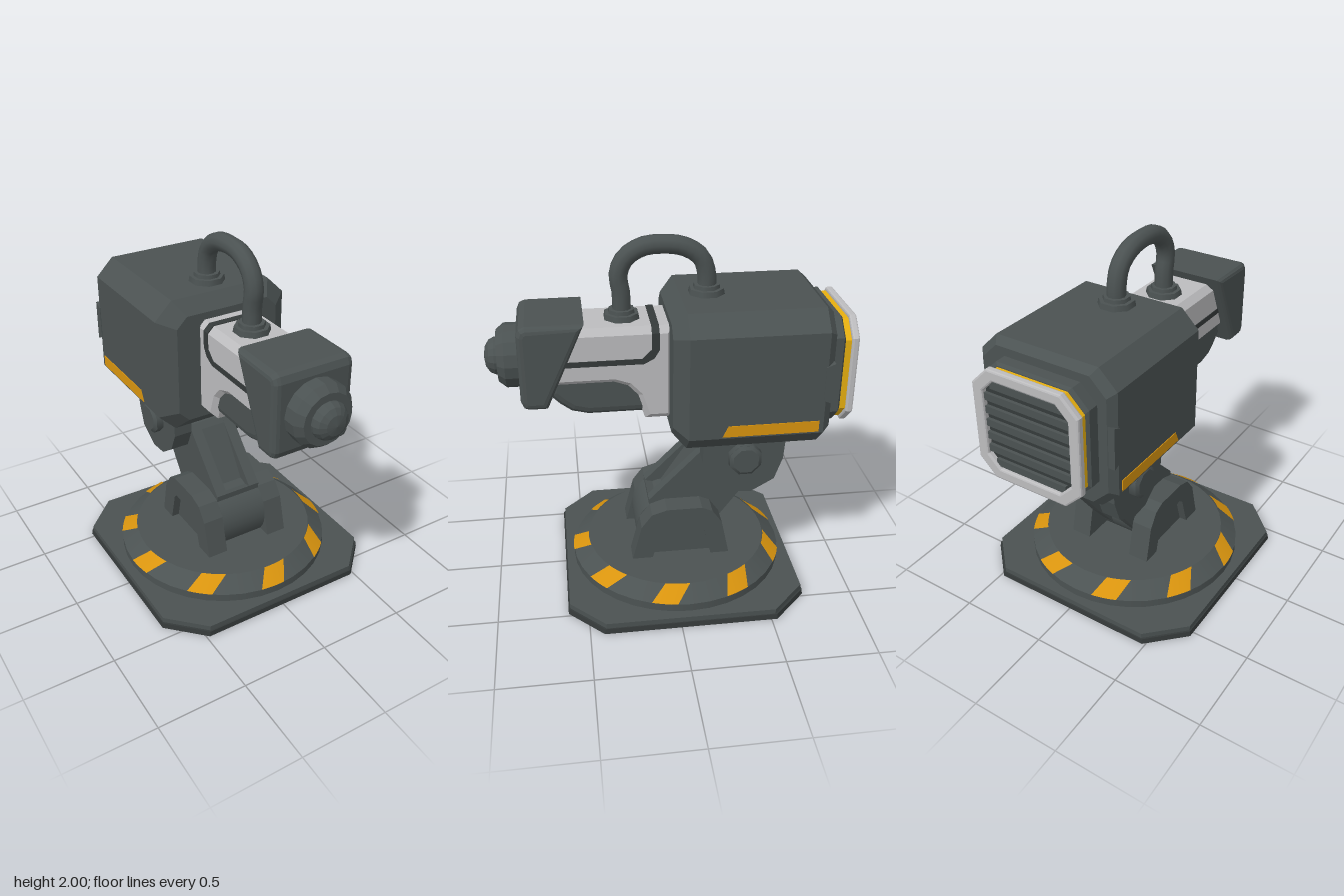
import * as THREE from 'three';

const material = (name, color, side = THREE.FrontSide) => {
  const m = new THREE.MeshStandardMaterial({ color, side });
  m.name = name;
  return m;
};

export function createModel() {
  const model = new THREE.Group();
  const grey = material('gunmetal', 0x4b5252);
  const dark = material('darkRubber', 0x353a3a);
  const white = material('lightPanel', 0xbcbcbe);
  const orange = material('hazardOrange', 0xd9940e, THREE.DoubleSide);
  const yellow = material('ringYellow', 0xe8b010);

  const add = (name, geometry, mat, x = 0, y = 0, z = 0) => {
    const mesh = new THREE.Mesh(geometry, mat);
    mesh.name = name;
    mesh.position.set(x, y, z);
    model.add(mesh);
    return mesh;
  };
  const box = (name, mat, w, h, d, x, y, z) => add(name, new THREE.BoxGeometry(w, h, d), mat, x, y, z);
  const outline = pts => new THREE.Shape(pts.map(p => new THREE.Vector2(...p)));

  // Side profile of [z, y] points, extruded across x from x0 to x1
  const sideGeo = (pts, x0, x1, bevel = 0, steps = 1) => {
    const g = new THREE.ExtrudeGeometry(outline(pts), {
      depth: x1 - x0 - 2 * bevel, bevelEnabled: bevel > 0, bevelThickness: bevel,
      bevelSize: bevel, bevelOffset: -bevel, bevelSegments: steps,
    });
    return g.translate(0, 0, -x1 + bevel).rotateY(-Math.PI / 2);
  };
  const both = (name, mat, pts, x0, x1, bevel = 0) => {
    add(name + 'Left', sideGeo(pts, x0, x1, bevel), mat);
    add(name + 'Right', sideGeo(pts, -x1, -x0, bevel), mat);
  };

  // Rectangle with cut corners, counter-clockwise
  const octagon = (hx, y0, y1, c) => [
    [-hx + c, y0], [hx - c, y0], [hx, y0 + c], [hx, y1 - c],
    [hx - c, y1], [-hx + c, y1], [-hx, y1 - c], [-hx, y0 + c],
  ];
  // Flat-shaded loft through octagons [z, hx, y0, y1, c], front to back
  const loft = sections => {
    const rings = sections.map(([z, ...o]) => octagon(...o).map(p => [p[0], p[1], z]));
    const pos = [];
    const tri = (...ps) => ps.forEach(p => pos.push(...p));
    for (let s = 0; s + 1 < rings.length; s++) {
      for (let i = 0; i < 8; i++) {
        const j = (i + 1) % 8, A = rings[s], B = rings[s + 1];
        tri(A[i], B[i], B[j]);
        tri(A[i], B[j], A[j]);
      }
    }
    const F = rings[0], R = rings[rings.length - 1];
    for (let i = 1; i < 7; i++) {
      tri(F[0], F[i], F[i + 1]);
      tri(R[0], R[i + 1], R[i]);
    }
    const g = new THREE.BufferGeometry();
    g.setAttribute('position', new THREE.Float32BufferAttribute(pos, 3));
    g.computeVertexNormals();
    return g;
  };
  const axle = (r, length, sides) => new THREE.CylinderGeometry(r, r, length, sides).rotateZ(Math.PI / 2);

  // Base plate and turntable
  const cz = -0.055;
  add('basePad', loft([[0.03, 0.668, -0.665, 0.665, 0.19], [0, 0.672, -0.667, 0.667, 0.19]])
    .rotateX(-Math.PI / 2), dark, 0, 0, cz);
  add('basePlate', loft([[0.06, 0.662, -0.657, 0.657, 0.19], [0.03, 0.662, -0.657, 0.657, 0.19]])
    .rotateX(-Math.PI / 2), grey, 0, 0, cz);
  add('turntableRim', new THREE.CylinderGeometry(0.612, 0.612, 0.05, 36), grey, 0, 0.08, cz);
  add('turntableSlope', new THREE.CylinderGeometry(0.52, 0.612, 0.07, 36), grey, 0, 0.14, cz);

  // Nine slanted hazard stripes on the turntable slope
  for (let k = 0; k < 9; k++) {
    const pos = [], index = [], n = 4;
    for (let i = 0; i <= n; i++) {
      for (const [r, y, a0, a1] of [[0.615, 0.109, -10, 3.5], [0.523, 0.179, -4, 11]]) {
        const a = THREE.MathUtils.degToRad(k * 40 + a0 + (a1 - a0) * i / n);
        pos.push(r * Math.sin(a), y, r * Math.cos(a));
      }
      if (i < n) index.push(2 * i, 2 * i + 2, 2 * i + 1, 2 * i + 1, 2 * i + 2, 2 * i + 3);
    }
    const g = new THREE.BufferGeometry();
    g.setAttribute('position', new THREE.Float32BufferAttribute(pos, 3));
    g.setIndex(index);
    g.computeVertexNormals();
    add('hazardStripe', g, orange, 0, 0, cz);
  }

  // Lower hinge: solid cheeks with a recessed outer face
  const cheek = [[0.23, 0.17], [0.175, 0.385], [0.115, 0.465], [0.03, 0.492],
    [-0.17, 0.492], [-0.23, 0.465], [-0.285, 0.385], [-0.33, 0.17]];
  both('lowerCheek', grey, cheek, 0.14, 0.215);
  both('lowerCheekFrame', grey, [...cheek, [-0.225, 0.17], [-0.18, 0.35], [-0.155, 0.375],
    [0.035, 0.375], [0.06, 0.35], [0.115, 0.17]], 0.215, 0.26);
  add('lowerHub', axle(0.195, 0.28, 28), grey, 0, 0.3, 0);

  // Sloping arm: two outer rails and a recessed web
  both('armRail', grey, [[0.12, 0.49], [-0.195, 0.81], [-0.4, 0.87], [-0.53, 0.75],
    [-0.455, 0.58], [-0.3, 0.37], [-0.14, 0.17], [0.1, 0.2]], 0.075, 0.14);
  add('armWeb', sideGeo([[0.12, 0.49], [0.04, 0.47], [-0.164, 0.778], [-0.195, 0.81], [-0.4, 0.87],
    [-0.53, 0.75], [-0.47, 0.64], [-0.38, 0.6], [-0.22, 0.38], [-0.14, 0.17], [0.1, 0.2]],
  -0.075, 0.075), grey);

  // Upper hinge
  both('upperCheek', grey, [[-0.17, 0.92], [-0.17, 0.78], [-0.22, 0.665], [-0.33, 0.585],
    [-0.445, 0.575], [-0.575, 0.65], [-0.62, 0.78], [-0.63, 0.92]], 0.14, 0.25);
  box('upperHingeBlock', grey, 0.28, 0.1, 0.4, 0, 0.87, -0.4);
  for (const s of [-1, 1]) {
    add('hingeBolt', axle(0.096, 0.045, 8).rotateX(Math.PI / 8), grey, s * 0.268, 0.805, -0.4);
    const cap = new THREE.CylinderGeometry(0.075, 0.096, 0.015, 8).rotateZ(-s * Math.PI / 2);
    add('hingeBoltCap', cap.rotateX(Math.PI / 8), grey, s * 0.297, 0.805, -0.4);
  }

  // Main housing
  add('housing', loft([[0.005, 0.305, 0.985, 1.605, 0.06], [-0.068, 0.395, 0.91, 1.68, 0.1],
    [-0.785, 0.395, 0.91, 1.68, 0.1], [-0.825, 0.36, 0.945, 1.645, 0.09]]), grey);
  both('housingStripe', orange, [[-0.245, 1.02], [-0.275, 1.083], [-0.76, 1.083], [-0.76, 1.02]], 0.393, 0.399);
  both('rearLatch', grey, [[-0.775, 1.2], [-0.775, 1.39], [-0.822, 1.41], [-0.822, 1.18]], 0.35, 0.399);

  // Rear collar, yellow ring and grille
  add('rearCollar', loft([[-0.82, 0.31, 0.995, 1.6, 0.09], [-0.885, 0.31, 0.995, 1.6, 0.09],
    [-0.897, 0.295, 1.01, 1.585, 0.09]]), grey);
  add('rearRing', loft([[-0.89, 0.295, 1.005, 1.58, 0.09], [-0.935, 0.295, 1.005, 1.58, 0.09]]), yellow);
  const frame = outline(octagon(0.3, 0.995, 1.59, 0.09));
  frame.holes.push(outline(octagon(0.26, 1.035, 1.55, 0.075)));
  add('grilleFrame', new THREE.ExtrudeGeometry(frame, {
    depth: 0.02, bevelThickness: 0.01, bevelSize: 0.01, bevelSegments: 2,
  }), white, 0, 0, -0.96);
  add('grilleBack', loft([[-0.93, 0.262, 1.033, 1.552, 0.075], [-0.94, 0.262, 1.033, 1.552, 0.075]]), dark);
  for (let i = 0; i < 7; i++) {
    box('grilleSlat', grey, i % 6 ? 0.5 : 0.42, 0.04, 0.02, 0, 1.0725 + i * 0.073, -0.947);
  }

  // Barrel: light shell with a dark under-barrel
  add('barrelShell', sideGeo([[-0.02, 1.565], [0.62, 1.565], [0.62, 1.25], [0.3, 1.25], [0.23, 1.225],
    [0.18, 1.17], [0.135, 1.03], [-0.02, 1.03]], -0.175, 0.175, 0.035), white);
  add('underBarrel', sideGeo([[-0.02, 1.4], [0.65, 1.4], [0.65, 1.19], [0.59, 1.13], [0.53, 1.085],
    [0.44, 1.062], [-0.02, 1.062]], -0.15, 0.15, 0.05, 3), grey);

  // Dark seam along the barrel sides and over its top
  both('barrelSeam', dark, [[0.56, 1.365], [0.14, 1.365], [0.085, 1.395], [0.058, 1.44], [0.058, 1.53],
    [0.098, 1.53], [0.098, 1.445], [0.15, 1.395], [0.56, 1.395]], 0.17, 0.179);
  add('barrelSeamTop', loft([[0.098, 0.179, 1.45, 1.569, 0.035], [0.058, 0.179, 1.45, 1.569, 0.035]]), dark);

  // Muzzle block with nose and lens
  add('muzzleBlock', sideGeo([[0.445, 1.612], [0.745, 1.612], [0.775, 1.6], [0.79, 1.565], [0.79, 1.195],
    [0.775, 1.16], [0.745, 1.15], [0.65, 1.15]], -0.228, 0.228, 0.035, 3), grey);
  const nose = (name, mat, profile) => add(name, new THREE.LatheGeometry(
    profile.map(p => new THREE.Vector2(...p)), 16).rotateX(Math.PI / 2).toNonIndexed(), mat, 0, 1.38, 0)
    .geometry.computeVertexNormals();
  nose('noseRing', grey, [[0.172, 0.78], [0.172, 0.86], [0.14, 0.9], [0.1, 0.9], [0.1, 0.89], [0, 0.89]]);
  nose('noseLens', grey, [[0.1, 0.88], [0.1, 0.915], [0.086, 0.943], [0.055, 0.963], [0, 0.972]]);

  // Hose looping between two octagonal sockets
  const path = new THREE.CatmullRomCurve3([[1.58, 0.238], [1.7, 0.24], [1.8, 0.252], [1.885, 0.215],
    [1.94, 0.13], [1.952, 0.03], [1.935, -0.09], [1.875, -0.18], [1.78, -0.212], [1.68, -0.212]]
    .map(([y, z]) => new THREE.Vector3(0, y, z)));
  add('hose', new THREE.TubeGeometry(path, 22, 0.05, 10), grey);
  for (const [y, z] of [[1.565, 0.24], [1.68, -0.212]]) {
    const socket = r => new THREE.CylinderGeometry(r * 0.94, r, 0.032, 8).rotateY(Math.PI / 8);
    add('hoseSocket', socket(0.1), grey, 0, y + 0.014, z);
    add('hoseSocketCollar', socket(0.075), grey, 0, y + 0.034, z);
  }
  return model;
}
